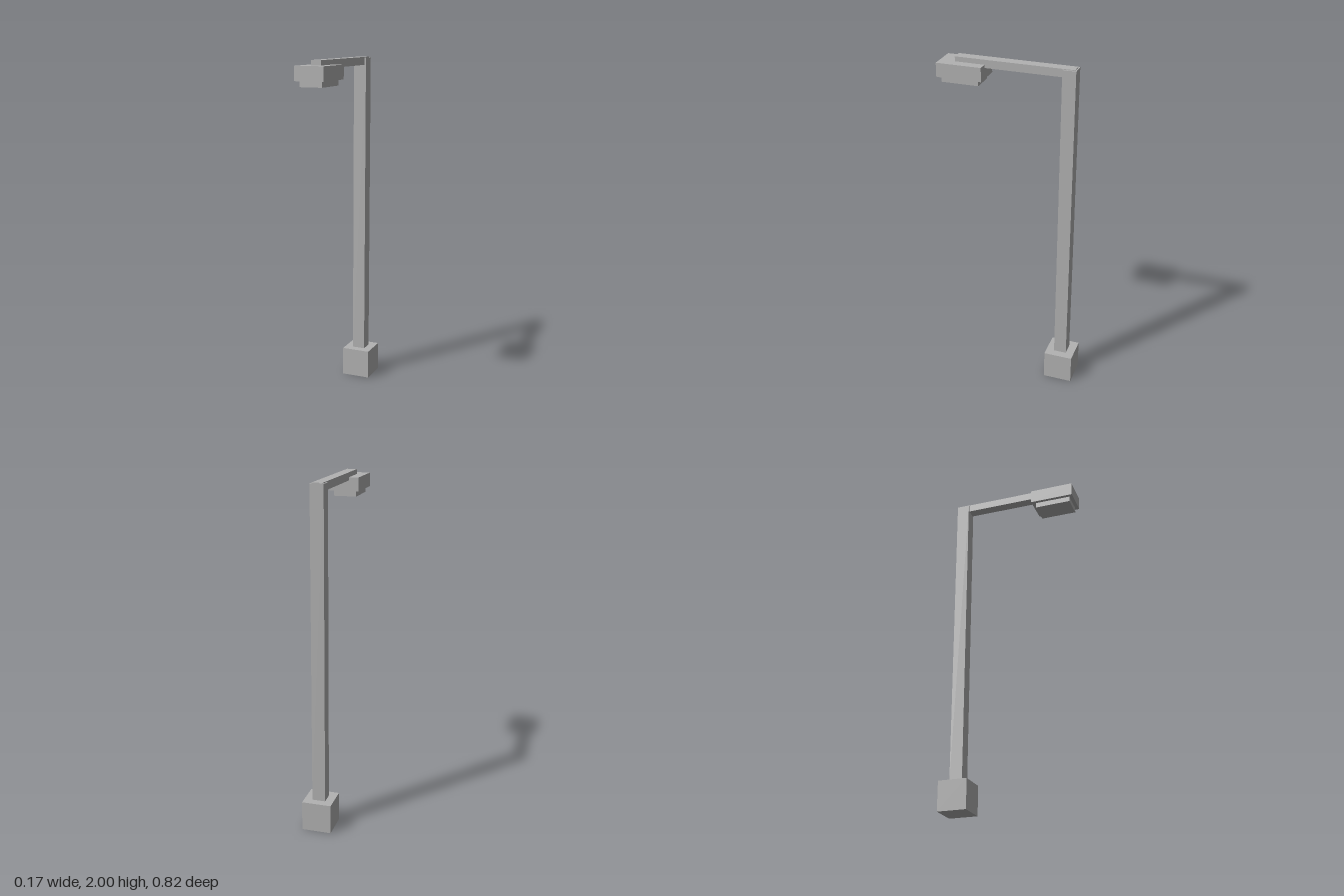
import * as THREE from 'three';

export function createModel() {
  const model = new THREE.Group();
  model.name = 'streetLamp';

  const grey = new THREE.MeshStandardMaterial({ color: 0xb2b2b2 });
  grey.name = 'grey';

  // Box centred on x, spanning the given y and z ranges
  function addBox(name, width, [y0, y1], [z0, z1]) {
    const mesh = new THREE.Mesh(new THREE.BoxGeometry(width, y1 - y0, z1 - z0), grey);
    mesh.name = name;
    mesh.position.set(0, (y0 + y1) / 2, (z0 + z1) / 2);
    model.add(mesh);
  }

  // Foot and upright
  addBox('base', 0.172, [0, 0.174], [-0.411, -0.239]);
  addBox('pole', 0.077, [0.174, 1.996], [-0.363, -0.287]);

  // Arm reaching forward, its top just above the pole
  addBox('arm', 0.06, [1.954, 2], [-0.355, 0.322]);

  // Lamp housing with the smaller light panel below it
  addBox('lampHousing', 0.172, [1.892, 1.972], [0.15, 0.411]);
  addBox('lightPanel', 0.132, [1.86, 1.892], [0.174, 0.39]);

  return model;
}
